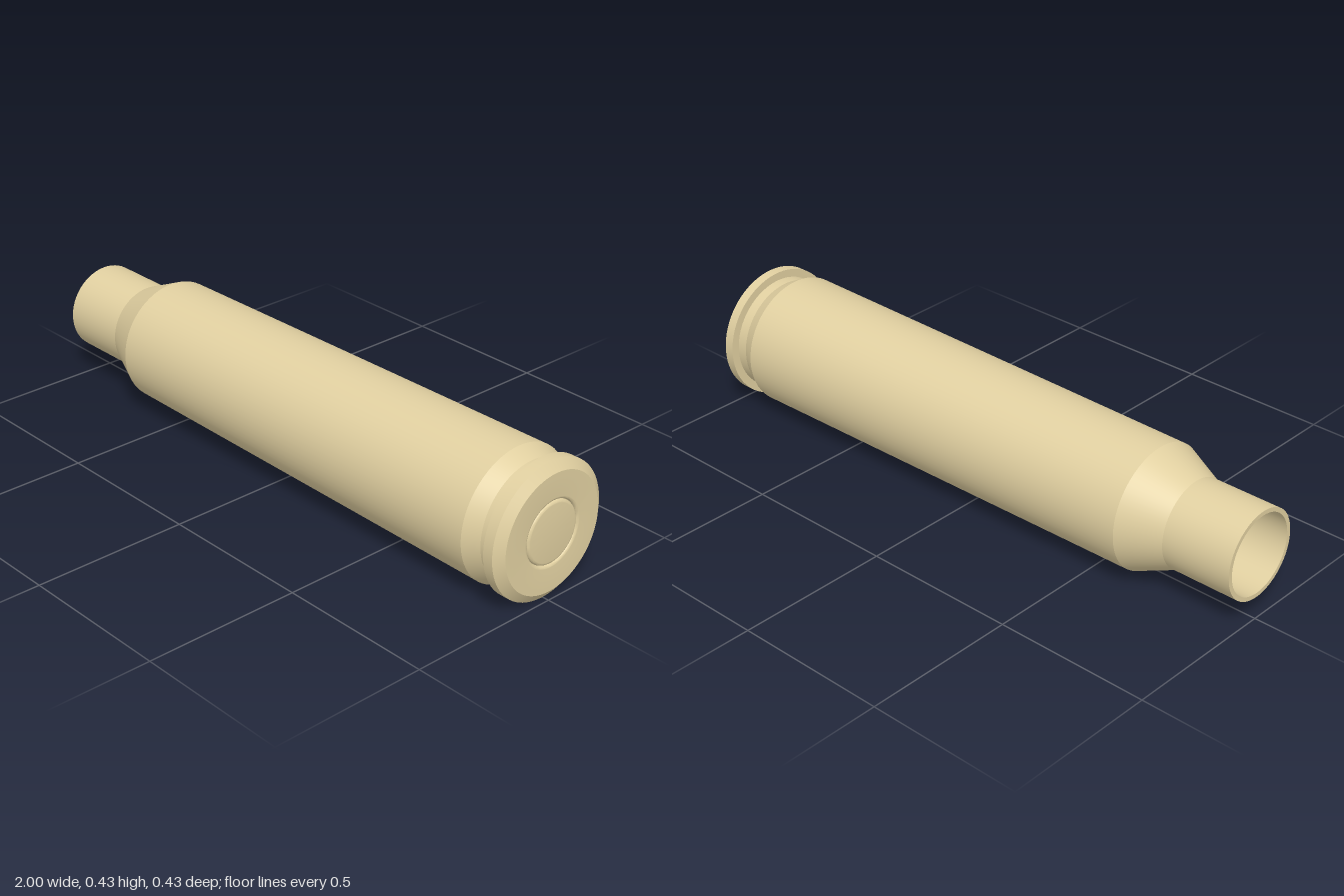
import * as THREE from 'three';
import { toCreasedNormals } from 'three/addons/utils/BufferGeometryUtils.js';

const AXIS_Y = 0.2147;
const brass = new THREE.MeshStandardMaterial({ color: 0xe0cfa0 });

// Quarter-round in [radius, x] pairs
function fillet(cr, cx, rad, from, to, steps = 6) {
  return Array.from({ length: steps + 1 }, (_, i) => {
    const a = from + ((to - from) * i) / steps;
    return [cr + rad * Math.cos(a), cx + rad * Math.sin(a)];
  });
}

// Turn a profile of [radius, x] pairs about the long axis
function turned(name, profile) {
  const points = profile.map(([r, x]) => new THREE.Vector2(r, x));
  const geometry = toCreasedNormals(new THREE.LatheGeometry(points, 64), 0.3);
  geometry.rotateZ(-Math.PI / 2);
  const mesh = new THREE.Mesh(geometry, brass);
  mesh.name = name;
  mesh.position.y = AXIS_Y;
  return mesh;
}

export function createModel() {
  const model = new THREE.Group();
  model.name = 'cartridgeCase';
  const seam = 0.099, round = 0.01;

  model.add(turned('caseBody', [
    // hollow inside, from the floor to the mouth
    [0, 0.82], [0.165, 0.82], [0.183, 0.7], [0.184, -0.635], [0.127, -0.765], [0.127, -1],
    // neck, shoulder and tapered body
    [0.141, -1], [0.141, -0.77], [0.198, -0.64], [0.2125, 0.86],
    // extractor groove
    [0.188, 0.91], [0.188, 0.945],
    // rim with chamfer, then the rounded edge of the primer pocket
    [AXIS_Y, 0.945], [AXIS_Y, 0.978], [0.186, 1],
    ...fillet(seam + round, 1 - round, round, Math.PI / 2, Math.PI),
  ]));

  // Primer cap with rounded edge
  model.add(turned('primer', [
    ...fillet(seam - round, 1 - round, round, 0, Math.PI / 2),
    [0, 1],
  ]));

  return model;
}
